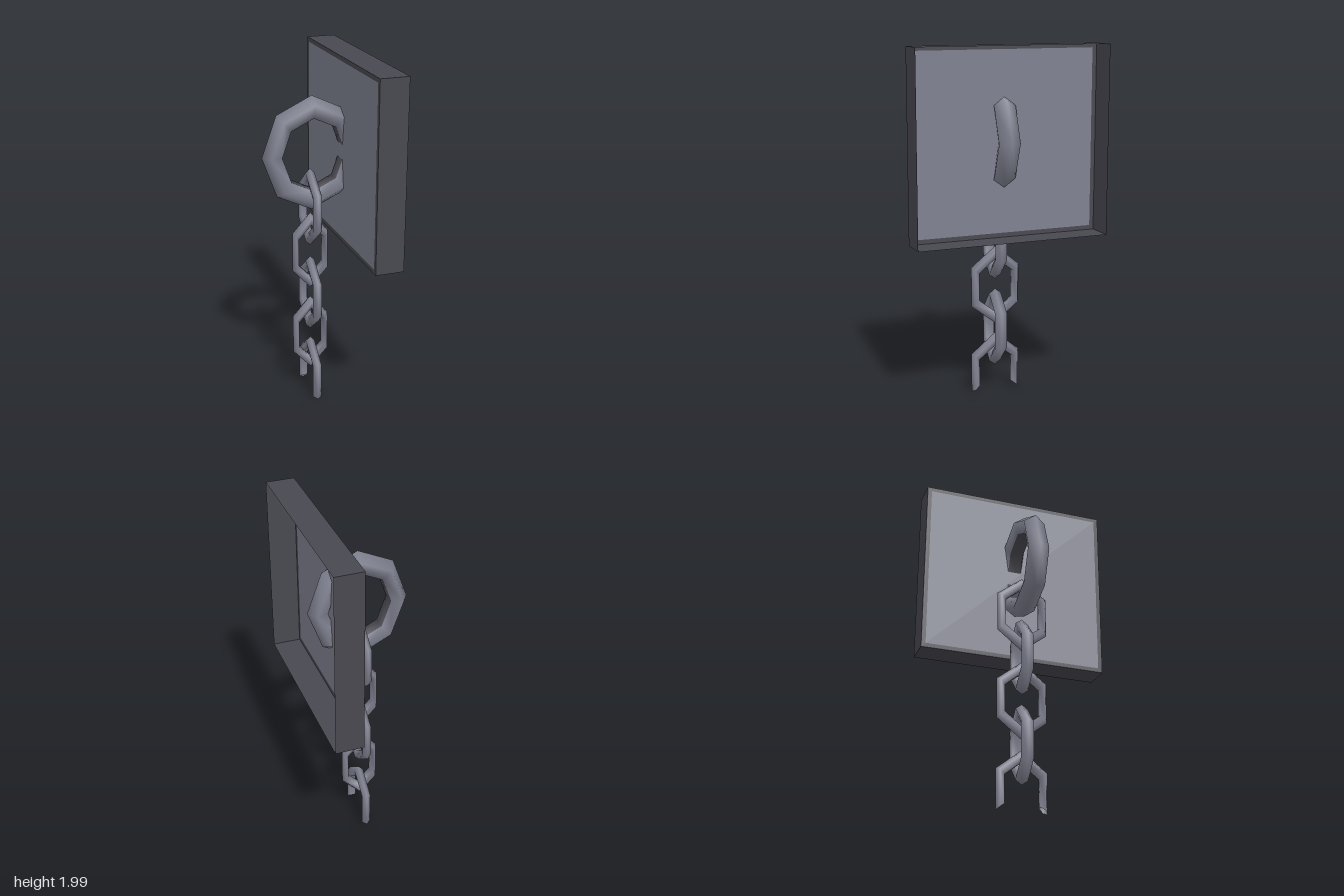
import * as THREE from 'three';

export function createModel() {
  const model = new THREE.Group();
  const iron = new THREE.MeshStandardMaterial({ color: 0x7f8190, side: THREE.DoubleSide });
  iron.name = 'worn iron';
  const dark = new THREE.MeshStandardMaterial({ color: 0x484850, side: THREE.DoubleSide });
  dark.name = 'dark iron';

  const add = (parent, name, geometry, material) => {
    const mesh = new THREE.Mesh(geometry, material);
    mesh.name = name;
    parent.add(mesh);
    return mesh;
  };

  // Wall plate: a shallow tray of sheet metal, open towards +x
  const plate = new THREE.Group();
  plate.name = 'wallPlate';
  plate.position.set(0.145, 1.475, 0);
  model.add(plate);
  const W = 1.1, H = 1.05, D = 0.16, edge = 0.025;
  for (const s of [-1, 1]) {
    const side = add(plate, 'plateSide', new THREE.PlaneGeometry(D, H), dark);
    side.position.set(D / 2, 0, s * W / 2);
    if (s < 0) side.rotation.y = Math.PI;
    const rim = add(plate, 'plateRim', new THREE.PlaneGeometry(D, W), dark);
    rim.position.set(D / 2, s * H / 2, 0);
    rim.rotation.x = -s * Math.PI / 2;
  }

  // Floor of the tray: dark border around a lighter panel
  const rect = (target, w, h) => {
    target.setFromPoints([[-w, -h], [w, -h], [w, h], [-w, h]]
      .map(([x, y]) => new THREE.Vector2(x / 2, y / 2)));
    return target;
  };
  const border = rect(new THREE.Shape(), W, H);
  border.holes.push(rect(new THREE.Path(), W - 2 * edge, H - 2 * edge));
  add(plate, 'plateBorder', new THREE.ShapeGeometry(border), dark).rotation.y = -Math.PI / 2;
  add(plate, 'platePanel', new THREE.PlaneGeometry(W - 2 * edge, H - 2 * edge), iron).rotation.y = -Math.PI / 2;

  // Eight-sided ring passing through the plate, darker on its inner face
  const ringGeometry = new THREE.TorusGeometry(0.259, 0.066, 5, 8);
  const band = 8 * 6;
  for (let j = 0; j < 5; j++) ringGeometry.addGroup(j * band, band, j === 2 ? 1 : 0);
  const ring = add(model, 'ring', ringGeometry, [iron, dark]);
  ring.position.set(-0.02, 1.475, 0);
  ring.scale.x = 0.877;

  // Chain of six-sided links, each turned a quarter from the last
  const chain = new THREE.Group();
  chain.name = 'chain';
  chain.position.set(-0.025, 0, -0.015);
  chain.scale.x = 0.72;
  model.add(chain);
  const linkGeometry = new THREE.TorusGeometry(0.19, 0.038, 5, 6).rotateZ(-Math.PI / 6).scale(0.736, 1, 1);
  // The lowest link is broken open at the bottom
  const brokenGeometry = new THREE.TorusGeometry(0.19, 0.038, 5, 4, Math.PI * 4 / 3)
    .rotateZ(-Math.PI / 6).scale(0.736, 1, 1);
  [1.157, 0.897, 0.633, 0.382, 0.12].forEach((y, i) => {
    const link = add(chain, i < 4 ? 'link' : 'brokenLink', i < 4 ? linkGeometry : brokenGeometry, iron);
    link.position.y = y;
    if (i % 2 === 0) link.rotation.y = Math.PI / 2;
  });

  return model;
}
